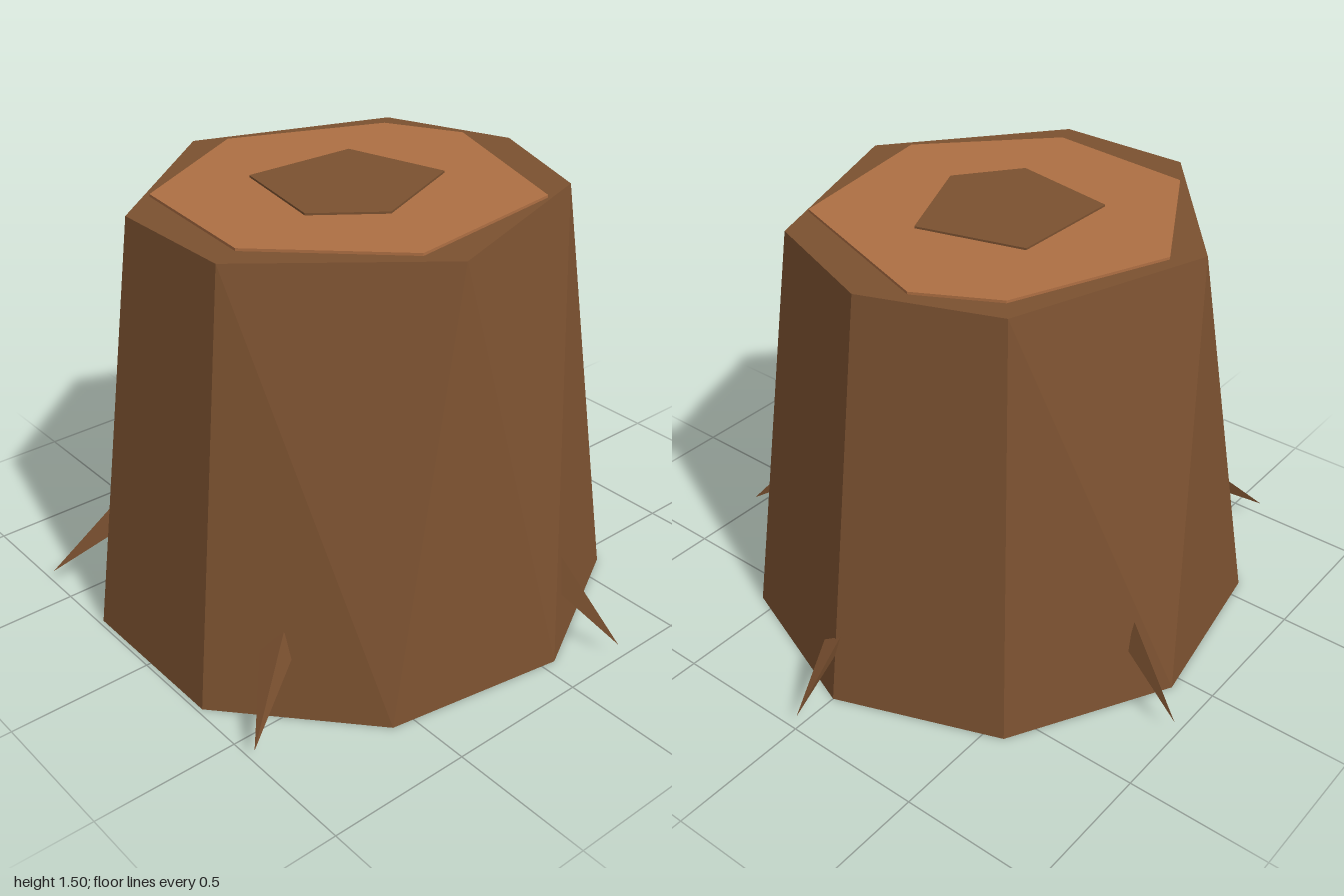
import * as THREE from 'three';
import { ConvexGeometry } from 'three/addons/geometries/ConvexGeometry.js';

const HEIGHT = 1.48;

// Nine-sided ring of corners around the trunk axis
function ring(y, rx, rz) {
  return Array.from({ length: 9 }, (_, i) => {
    const a = (i * Math.PI * 2) / 9;
    return new THREE.Vector3(-0.11 + rx * Math.cos(a), y, rz * Math.sin(a));
  });
}

// Tapered trunk; two pairs of top corners are merged for a hewn look
function trunkGeometry() {
  const b = ring(0, 0.93, 0.883), t = ring(HEIGHT, 0.73, 0.7);
  t[2] = t[3] = new THREE.Vector3(-0.24, HEIGHT, 0.69);
  t[6] = t[7] = new THREE.Vector3(-0.24, HEIGHT, -0.69);
  const low = new THREE.Vector3(-0.11, 0, 0), high = new THREE.Vector3(-0.11, HEIGHT, 0);
  const points = [];
  for (let i = 0; i < 9; i++) {
    const j = (i + 1) % 9;
    if (t[i] === t[j]) points.push(b[i], t[i], b[j]);
    else {
      if (i % 4 === 1) points.push(b[i], t[i], b[j], t[i], t[j], b[j]);
      else points.push(b[i], t[i], t[j], b[i], t[j], b[j]);
      points.push(high, t[j], t[i]);
    }
    points.push(low, b[i], b[j]);
  }
  const g = new THREE.BufferGeometry().setFromPoints(points);
  g.computeVertexNormals();
  return g;
}

// Thin flat polygon from [x, z] corners, lying at height y
function plateGeometry(corners, y, depth) {
  const shape = new THREE.Shape(corners.map(([x, z]) => new THREE.Vector2(x, -z)));
  return new THREE.ExtrudeGeometry(shape, { depth, bevelEnabled: false })
    .rotateX(-Math.PI / 2)
    .translate(0, y, 0);
}

export function createModel() {
  const model = new THREE.Group();
  model.name = 'treeStump';
  const bark = new THREE.MeshStandardMaterial({ color: 0x7b5130, flatShading: true });
  bark.name = 'bark brown';
  const wood = new THREE.MeshStandardMaterial({ color: 0xae6f43, flatShading: true });
  wood.name = 'cut wood';

  const add = (name, geometry, material) => {
    const mesh = new THREE.Mesh(geometry, material);
    mesh.name = name;
    model.add(mesh);
  };

  add('trunk', trunkGeometry(), bark);

  // Cut face and its darker core
  add('cutFace', plateGeometry([
    [-0.15, -0.61], [0.38, -0.39], [0.52, -0.13], [0.3, 0.49],
    [-0.31, 0.58], [-0.7, 0.2], [-0.65, -0.33],
  ], HEIGHT, 0.009), wood);
  add('core', plateGeometry([
    [-0.32, -0.25], [0.09, -0.24], [0.19, 0.13], [-0.18, 0.29], [-0.39, 0.13],
  ], HEIGHT + 0.008, 0.008), bark);

  // Root splinters: tip first, then the three corners set into the bark
  const splinters = {
    leftSplinter: [[0.99, 0.05, 0], [0.78, 0.26, -0.015], [0.79, 0.22, 0.05], [0.75, 0.21, 0]],
    frontSplinter: [[0.23, 0.05, 0.99], [0.165, 0.32, 0.77], [0.145, 0.19, 0.8], [0.185, 0.21, 0.76]],
    backSplinter: [[0.23, 0.05, -0.99], [0.165, 0.32, -0.77], [0.145, 0.19, -0.8], [0.185, 0.21, -0.76]],
    frontRightSplinter: [[-1, 0.05, 0.61], [-0.83, 0.24, 0.42], [-0.78, 0.31, 0.48], [-0.72, 0.25, 0.48]],
    backRightSplinter: [[-1, 0.05, -0.61], [-0.83, 0.24, -0.43], [-0.75, 0.31, -0.52], [-0.72, 0.25, -0.47]],
  };
  for (const [name, corners] of Object.entries(splinters)) {
    add(name, new ConvexGeometry(corners.map((c) => new THREE.Vector3(...c))), bark);
  }
  return model;
}
